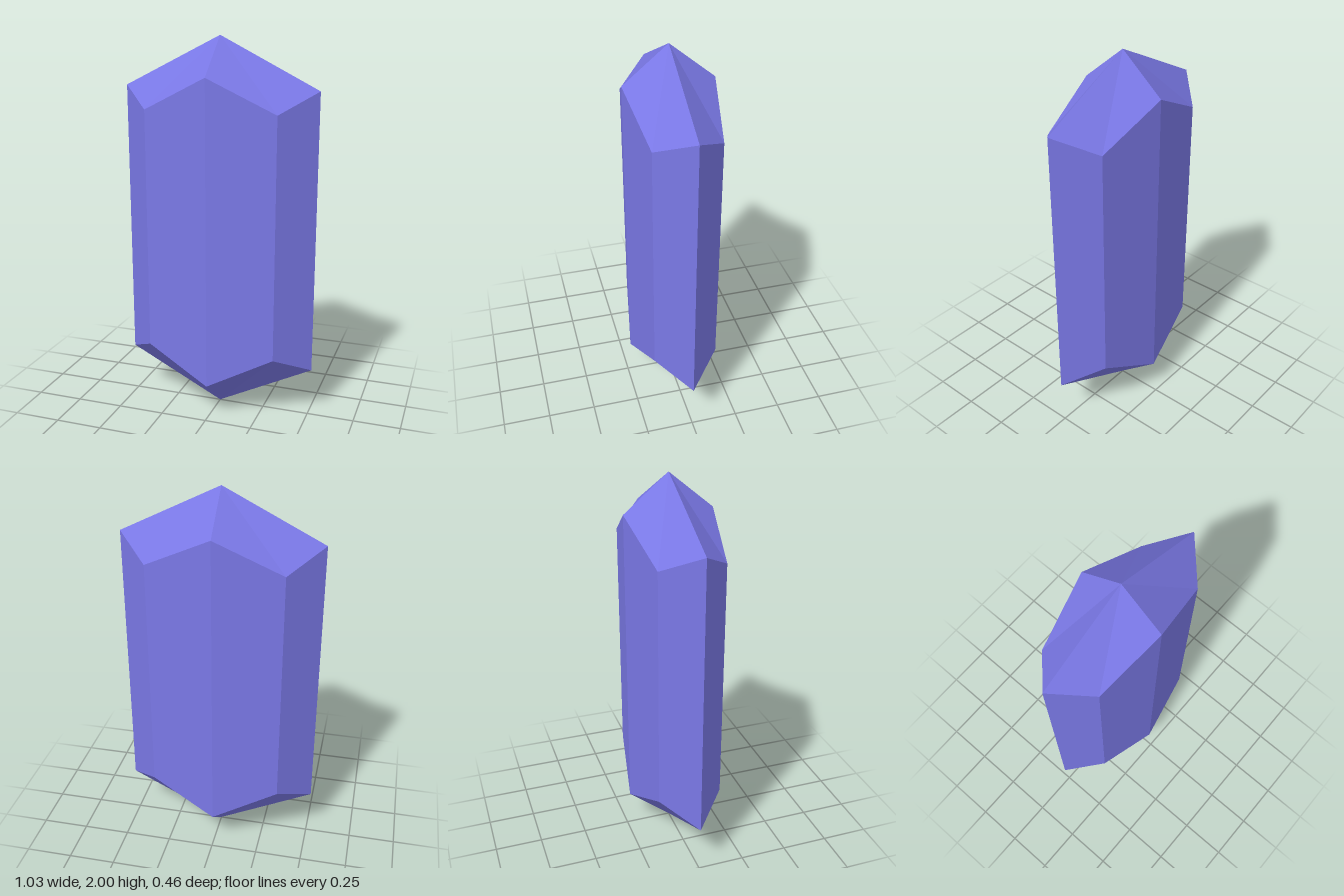
import * as THREE from 'three';

// Cross-section of the crystal, anticlockwise seen from above:
// [x, z, height of the upper facet corner above the middle]
const quarter = [[0, 0.23, 0.81], [0.345, 0.17, 0.637], [0.515, 0, 0.74], [0.345, -0.17, 0.637]];
const ring = [...quarter, ...quarter.map(([x, z, h]) => [-x, -z, h])];
const MIDDLE = 1;

function facets(name, triangles, material) {
  const geometry = new THREE.BufferGeometry().setFromPoints(triangles);
  geometry.computeVertexNormals(); // unshared corners keep every facet flat
  const mesh = new THREE.Mesh(geometry, material);
  mesh.name = name;
  return mesh;
}

export function createModel() {
  const group = new THREE.Group();
  group.name = 'crystal';
  const material = new THREE.MeshStandardMaterial({ color: 0x7a78e6, flatShading: true });

  const corner = (i, side) => {
    const [x, z, h] = ring[i % ring.length];
    return new THREE.Vector3(x, MIDDLE + side * h, z);
  };
  const top = new THREE.Vector3(0, 2, 0);
  const bottom = new THREE.Vector3(0, 0, 0);

  const shaft = [], upperTip = [], lowerTip = [];
  for (let i = 0; i < ring.length; i++) {
    const a = corner(i, -1), b = corner(i + 1, -1);
    const c = corner(i + 1, 1), d = corner(i, 1);
    shaft.push(a, b, c, a, c, d);
    upperTip.push(top, d, c);
    lowerTip.push(bottom, b, a);
  }

  group.add(
    facets('shaft', shaft, material),
    facets('upperTip', upperTip, material),
    facets('lowerTip', lowerTip, material)
  );
  return group;
}
